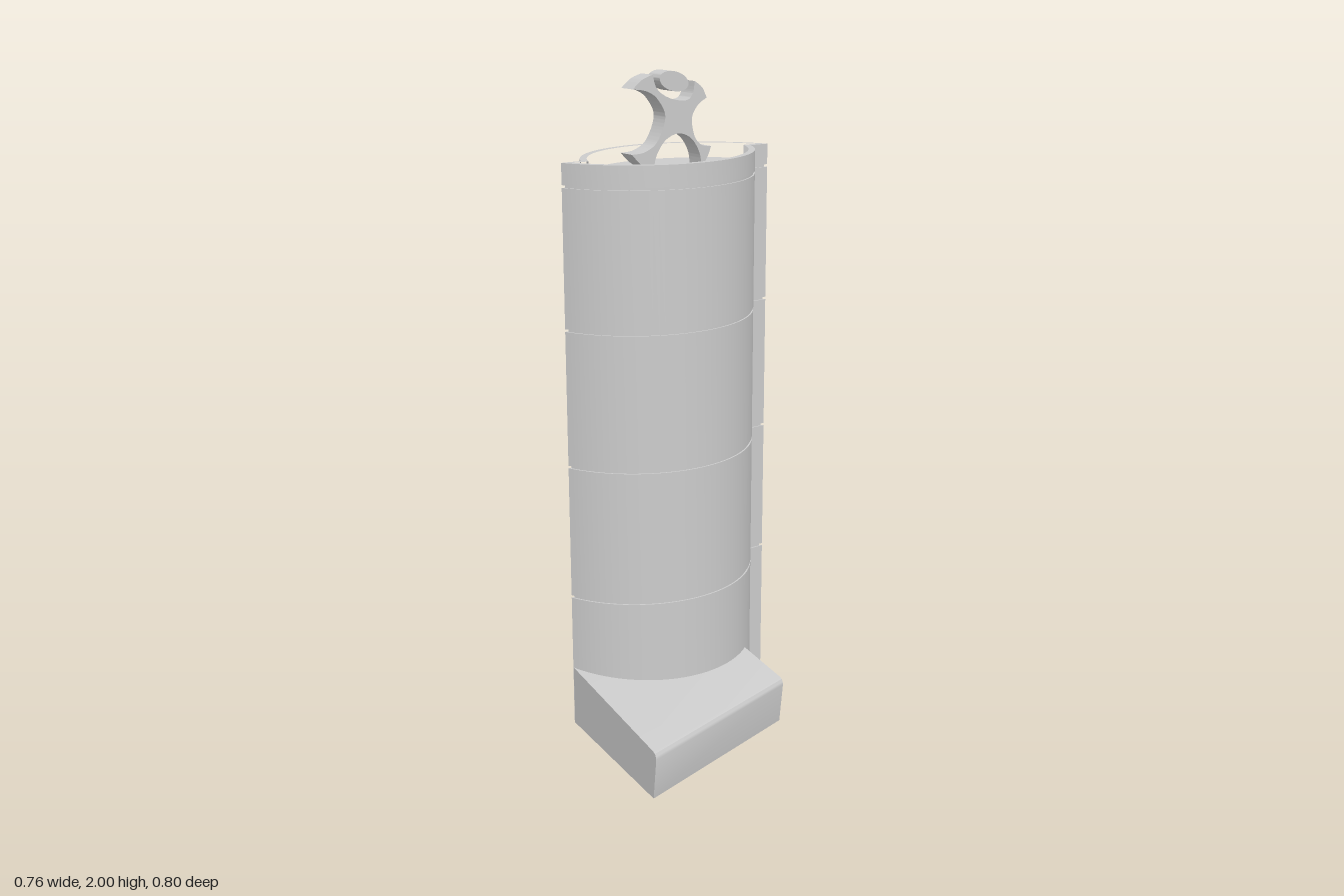
import * as THREE from 'three';
import { toCreasedNormals } from 'three/addons/utils/BufferGeometryUtils.js';

const material = new THREE.MeshStandardMaterial({ color: 0xcccccc });

function mesh(name, geometry, crease = 0.45) {
  const m = new THREE.Mesh(toCreasedNormals(geometry, crease), material);
  m.name = name;
  return m;
}

// Tower plan: two facing arcs that slide past each other, leaving a step at
// each meeting point. Plan coordinates are (x, -z); inset shrinks the outline.
const SEAM = -0.16;
const WEST = { x: -0.011, z: -0.0625, r: 0.369 };
const EAST = { x: -0.3, z: 0.0025, r: 0.366 };

function towerOutline(inset) {
  const points = [];
  const arc = (c, side, xStart, xEnd, zSign) => {
    const r = c.r - inset;
    const a = Math.acos((xStart - c.x) * side / r);
    const b = -Math.acos((xEnd - c.x) * side / r);
    const n = 48;
    for (let i = 0; i <= n; i++) {
      const t = a + (b - a) * i / n;
      points.push(new THREE.Vector2(c.x + side * r * Math.cos(t), -(c.z + zSign * r * Math.sin(t))));
    }
  };
  arc(WEST, -1, SEAM + inset, SEAM - inset, 1);
  arc(EAST, 1, SEAM - inset, SEAM + inset, -1);
  return points;
}

function slab(name, y0, y1, inset, holeInset) {
  const shape = new THREE.Shape(towerOutline(inset));
  if (holeInset) shape.holes.push(new THREE.Path(towerOutline(holeInset)));
  const g = new THREE.ExtrudeGeometry(shape, { depth: y1 - y0, bevelEnabled: false });
  g.rotateX(-Math.PI / 2).translate(0, y0, 0);
  return mesh(name, g);
}

function createTower() {
  const tower = new THREE.Group();
  tower.name = 'tower';
  // Storeys separated by fine grooves, around a slightly smaller core
  const grooves = [0.43, 0.85, 1.27, 1.69];
  let y = 0;
  for (const g of grooves) {
    tower.add(slab('storey', y, g - 0.004, 0));
    y = g + 0.004;
  }
  tower.add(slab('core', 0.01, 1.7, 0.005));
  tower.add(slab('parapet', y, 1.757, 0, 0.02));
  tower.add(slab('roof', 1.695, 1.71, 0.01));
  return tower;
}

// Low annex: a sloping profile swept between two skewed end walls
function createAnnex() {
  const profile = new THREE.Shape([
    [-0.507, 0], [-0.016, 0], [0, 0.132], [-0.002, 0.141], [-0.007, 0.148],
    [-0.016, 0.151], [-0.507, 0.19],
  ].map(([d, h]) => new THREE.Vector2(d, h)));
  const g = new THREE.ExtrudeGeometry(profile, { depth: 1, bevelEnabled: false });
  const front = { x: 0.378, z: 0.396, dx: 0.538 / 0.507, dz: 0.056 / 0.507 };
  const back = { x: 0.222, z: -0.19, dx: 0.227 / 0.21, dz: 0.022 / 0.21 };
  const p = g.attributes.position;
  for (let i = 0; i < p.count; i++) {
    const d = p.getX(i), t = p.getZ(i);
    p.setX(i, THREE.MathUtils.lerp(back.x + back.dx * d, front.x + front.dx * d, t));
    p.setZ(i, THREE.MathUtils.lerp(back.z + back.dz * d, front.z + front.dz * d, t));
  }
  return mesh('annex', g, 0.5);
}

// Rooftop figure: flat shapes drawn in (z, y) and given thickness along x
function createFigure() {
  const figure = new THREE.Group();
  figure.name = 'rooftopFigure';
  const plate = (name, shape) => {
    const g = new THREE.ExtrudeGeometry(shape, { depth: 0.06, bevelEnabled: false, curveSegments: 24 });
    g.rotateY(-Math.PI / 2).translate(-0.12, 0, 0);
    figure.add(mesh(name, g, 0.5));
  };
  const curve = (shape, pts) => shape.splineThru(pts.map(([z, y]) => new THREE.Vector2(z, y)));

  // Body with four flared limbs, each side scooped out by a curve
  const body = new THREE.Shape();
  body.moveTo(0.122, 1.952);
  curve(body, [[0.075, 1.944], [0.037, 1.92], [0.01, 1.868], [0.037, 1.8], [0.08, 1.772], [0.127, 1.767]]);
  curve(body, [[0.096, 1.737], [0.052, 1.712]]);
  curve(body, [[0.042, 1.757], [0.01, 1.8], [-0.037, 1.817], [-0.082, 1.8], [-0.112, 1.757], [-0.12, 1.712]]);
  curve(body, [[-0.142, 1.742], [-0.155, 1.772]]);
  curve(body, [[-0.12, 1.778], [-0.095, 1.805], [-0.085, 1.857], [-0.105, 1.894], [-0.138, 1.915]]);
  curve(body, [[-0.122, 1.945], [-0.095, 1.965]]);
  curve(body, [[-0.088, 1.93], [-0.068, 1.912], [-0.025, 1.915], [0.016, 1.931], [0.042, 1.955], [0.053, 1.99]]);
  curve(body, [[0.09, 1.977], [0.122, 1.952]]);
  plate('body', body);

  // Separate tilted oval head
  const head = new THREE.Shape();
  head.absellipse(-0.022, 1.968, 0.052, 0.028, 0, Math.PI * 2, false, 0.25);
  plate('head', head);
  return figure;
}

export function createModel() {
  const model = new THREE.Group();
  model.name = 'towerModel';
  model.add(createTower(), createAnnex(), createFigure());
  return model;
}
